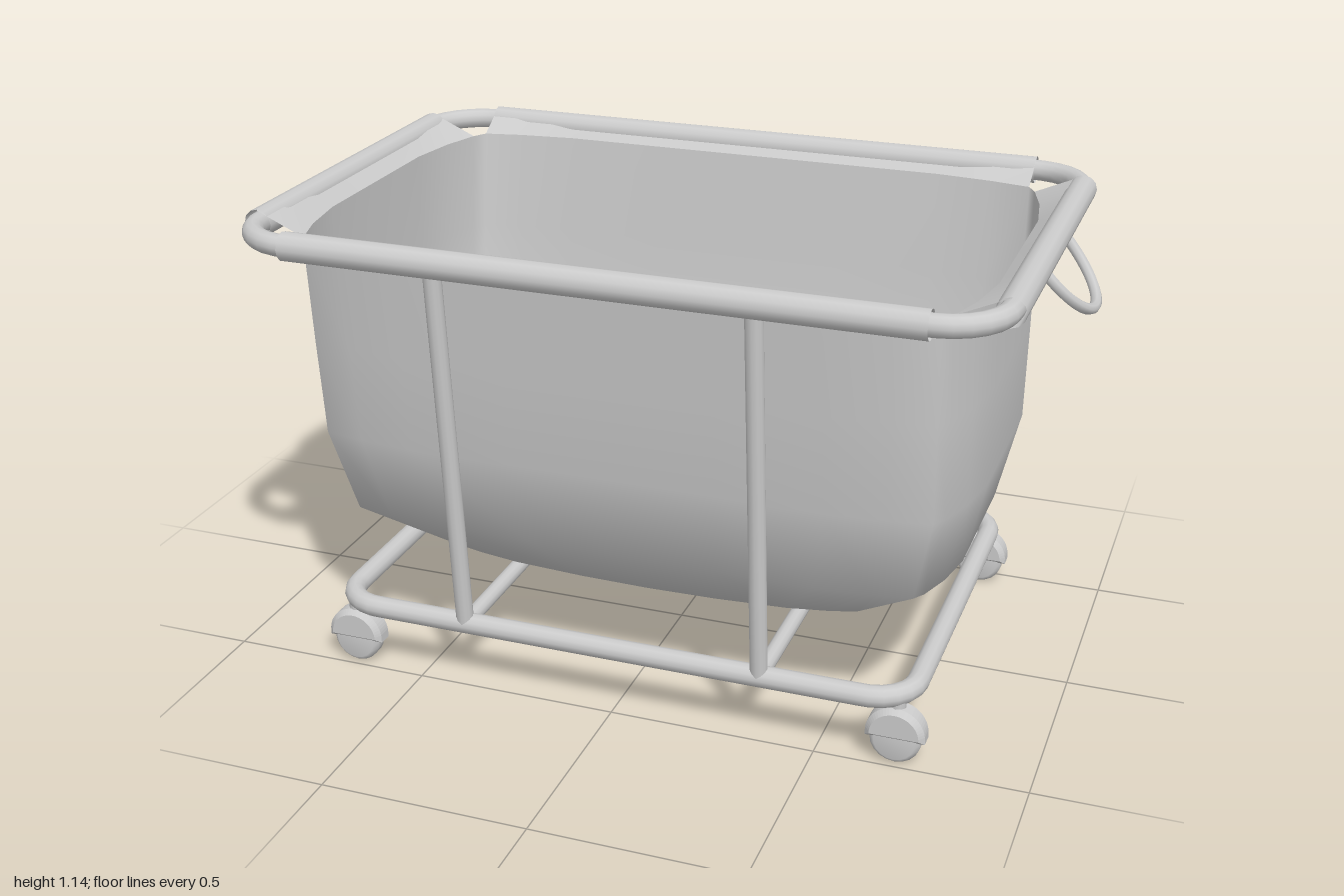
import * as THREE from 'three';

const V = (x, y, z) => new THREE.Vector3(x, y, z);
const metal = new THREE.MeshStandardMaterial({ color: 0xcccccc });
const cloth = new THREE.MeshStandardMaterial({ color: 0xcccccc, side: THREE.DoubleSide });

function add(parent, name, geometry, material = metal) {
  const mesh = new THREE.Mesh(geometry, material);
  mesh.name = name;
  parent.add(mesh);
  return mesh;
}

// Straight round bar between two points
function bar(parent, name, a, b, r, material = metal, open = false) {
  const mesh = add(parent, name, new THREE.CylinderGeometry(r, r, a.distanceTo(b), 12, 1, open), material);
  mesh.position.copy(a).lerp(b, 0.5);
  mesh.quaternion.setFromUnitVectors(V(0, 1, 0), b.clone().sub(a).normalize());
  return mesh;
}

// Closed tube bent into a rounded rectangle in the horizontal plane
function tubeLoop(parent, name, hx, hz, y, corner, r) {
  const path = new THREE.CurvePath();
  const corners = [[1, 1], [-1, 1], [-1, -1], [1, -1]];
  const ends = corners.map(([sx, sz], i) => {
    const alongX = V(sx * (hx - corner), y, sz * hz);
    const alongZ = V(sx * hx, y, sz * (hz - corner));
    const [start, end] = i % 2 ? [alongX, alongZ] : [alongZ, alongX];
    // Middle point of the arc keeps the bend circular
    const k = corner * (1 - 0.5523);
    const c1 = i % 2 ? V(sx * (hx - k), y, sz * hz) : V(sx * hx, y, sz * (hz - k));
    const c2 = i % 2 ? V(sx * hx, y, sz * (hz - k)) : V(sx * (hx - k), y, sz * hz);
    return { start, c1, c2, end };
  });
  ends.forEach((e, i) => {
    path.add(new THREE.CubicBezierCurve3(e.start, e.c1, e.c2, e.end));
    path.add(new THREE.LineCurve3(e.end, ends[(i + 1) % 4].start));
  });
  return add(parent, name, new THREE.TubeGeometry(path, 160, r, 12, true), metal);
}

// Surface through rows of points, optionally wrapping around
function skin(rows, wrap) {
  const n = rows[0].length, index = [];
  for (let r = 0; r < rows.length - 1; r++) {
    for (let i = 0; i < (wrap ? n : n - 1); i++) {
      const j = (i + 1) % n, a = r * n, b = a + n;
      index.push(a + i, a + j, b + i, a + j, b + j, b + i);
    }
  }
  const g = new THREE.BufferGeometry().setFromPoints(rows.flat());
  g.setIndex(index);
  g.computeVertexNormals();
  return g;
}

// Basin outline for one quarter, mirrored into a full ring of 32 points
const quarter = [[0.81, 0], [0.81, 0.23], [0.79, 0.36], [0.76, 0.46], [0.74, 0.495],
  [0.64, 0.515], [0.5, 0.53], [0.25, 0.53], [0, 0.53]].map(([x, z]) => [x / 0.81, z / 0.53]);
const half = [...quarter, ...quarter.slice(0, 8).reverse().map(([x, z]) => [-x, z])];
const outline = [...half, ...half.slice(1, 16).reverse().map(([x, z]) => [x, -z])];

// Ring of half sizes hx, hz at height y, its ends lifted by rise
const ring = ([hx, hz, y, rise]) =>
  outline.map(([x, z]) => V(x * hx, y + rise * x * x, z * hz));

export function createModel() {
  const model = new THREE.Group();
  const top = 1.11, railX = 0.877, railZ = 0.582, sleeveR = 0.034;

  // Fabric basin
  const rows = [[0.81, 0.53, 1.09, 0], [0.812, 0.505, 0.84, 0], [0.81, 0.482, 0.6, 0],
    [0.76, 0.432, 0.385, 0], [0.57, 0.245, 0.205, 0.027], [0.34, 0.13, 0.198, 0.004],
    [0, 0, 0.197, 0]].map(ring);
  add(model, 'basin', skin(rows, true), cloth);

  // Fabric flaps from the basin rim up onto the rail sleeves
  const rim = rows[0];
  for (let side = 0; side < 4; side++) {
    const onX = side % 2 === 0, s = side < 2 ? 1 : -1, reach = onX ? 3 : 4;
    const inner = [];
    for (let i = -reach; i <= reach; i++) inner.push(rim[(side * 8 + i + 32) % 32]);
    const outer = inner.map((p) => onX
      ? V(s * railX, top + sleeveR - 0.002, p.z)
      : V(p.x, top + sleeveR - 0.002, s * railZ));
    add(model, 'rimFlap', skin([outer, inner], false), cloth);
    const e = onX ? 0.46 : 0.74;
    const [a, b] = onX ? [V(s * railX, top, -e), V(s * railX, top, e)]
      : [V(-e, top, s * railZ), V(e, top, s * railZ)];
    bar(model, 'railSleeve', a, b, sleeveR, cloth, true);
  }

  // Tube frame: top rail, base rail, leaning posts and cross bars
  tubeLoop(model, 'topRail', railX, railZ, top, 0.14, 0.026);
  tubeLoop(model, 'baseRail', 0.714, 0.494, 0.17, 0.1, 0.026);
  for (const x of [-0.375, 0.365]) {
    bar(model, 'crossBar', V(x, 0.17, -0.494), V(x, 0.17, 0.494), 0.02);
    for (const s of [-1, 1]) {
      bar(model, 'post', V(x, 0.17, s * 0.497), V(x, top, s * 0.58), 0.021);
    }
  }

  // Drooping loop handles at both ends
  for (const s of [-1, 1]) {
    const points = [];
    for (let i = 0; i <= 16; i++) {
      const t = (i / 16) * Math.PI, d = Math.sin(t);
      points.push(V(s * (0.887 + 0.101 * d), 1.095 - 0.115 * d, 0.135 * Math.cos(t)));
    }
    add(model, s > 0 ? 'leftHandle' : 'rightHandle',
      new THREE.TubeGeometry(new THREE.CatmullRomCurve3(points), 32, 0.013, 8));
  }

  // Casters: stem, half-round hood and wheel
  for (const x of [-0.685, 0.685]) {
    for (const z of [-0.465, 0.465]) {
      const caster = new THREE.Group();
      caster.name = 'caster';
      caster.position.set(x, 0, z);
      bar(caster, 'stem', V(0, 0.11, 0), V(0, 0.17, 0), 0.02);
      const hoodShape = new THREE.Shape();
      hoodShape.absarc(0, 0, 0.058, 0, Math.PI, false);
      const hood = add(caster, 'hood', new THREE.ExtrudeGeometry(hoodShape, {
        depth: 0.036, bevelEnabled: true, bevelSize: 0.012, bevelThickness: 0.013,
        bevelSegments: 1, curveSegments: 14 }));
      hood.position.set(0, 0.073, -0.018);
      const wheelProfile = [[0, -0.025], [0.048, -0.025], [0.06, -0.013], [0.06, 0.013],
        [0.048, 0.025], [0, 0.025]].map(([r, h]) => new THREE.Vector2(r, h));
      const wheel = add(caster, 'wheel', new THREE.LatheGeometry(wheelProfile, 20));
      wheel.rotation.x = Math.PI / 2;
      wheel.position.y = 0.06;
      model.add(caster);
    }
  }
  return model;
}
